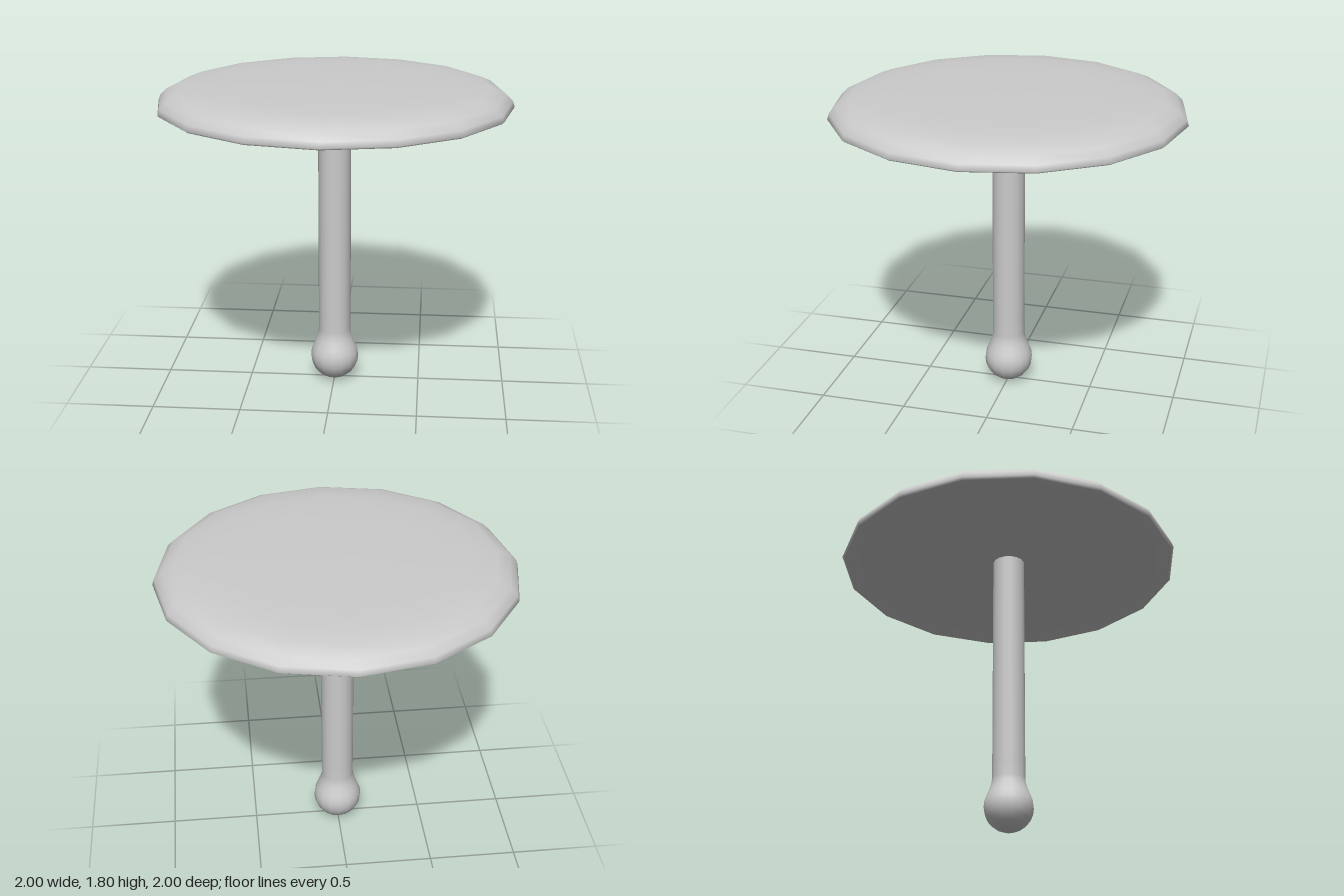
import * as THREE from 'three';

const SIDES = 16;

// Smooth surface of revolution from [radius, height] pairs, listed from underside to top
function turned(name, profile) {
  const points = profile.map(([r, y]) => new THREE.Vector2(r, y));
  const material = new THREE.MeshStandardMaterial({ color: 0xcccccc });
  const mesh = new THREE.Mesh(new THREE.LatheGeometry(points, SIDES), material);
  mesh.name = name;
  return mesh;
}

export function createModel() {
  const group = new THREE.Group();
  group.name = 'discOnStem';

  // Shallow disc: slightly hollow underside, rounded rim, almost flat top
  group.add(turned('disc', [
    [0, 1.70], [0.8, 1.70], [0.9, 1.69], [0.96, 1.67], [0.985, 1.657],
    [1, 1.668], [0.99, 1.70], [0.95, 1.74], [0.88, 1.77],
    [0.75, 1.782], [0.55, 1.793], [0, 1.797],
  ]));

  // Round knob that flows through a neck into the straight stem
  const knob = [];
  const R = 0.141;
  for (let i = 0; i <= 8; i++) {
    const a = (i / 8) * Math.PI * 0.66;
    knob.push([R * Math.sin(a), R - R * Math.cos(a)]);
  }
  group.add(turned('stemWithKnob', [
    ...knob, [0.107, 0.25], [0.098, 0.28], [0.094, 0.31], [0.094, 0.4], [0.094, 1.71],
  ]));

  return group;
}
